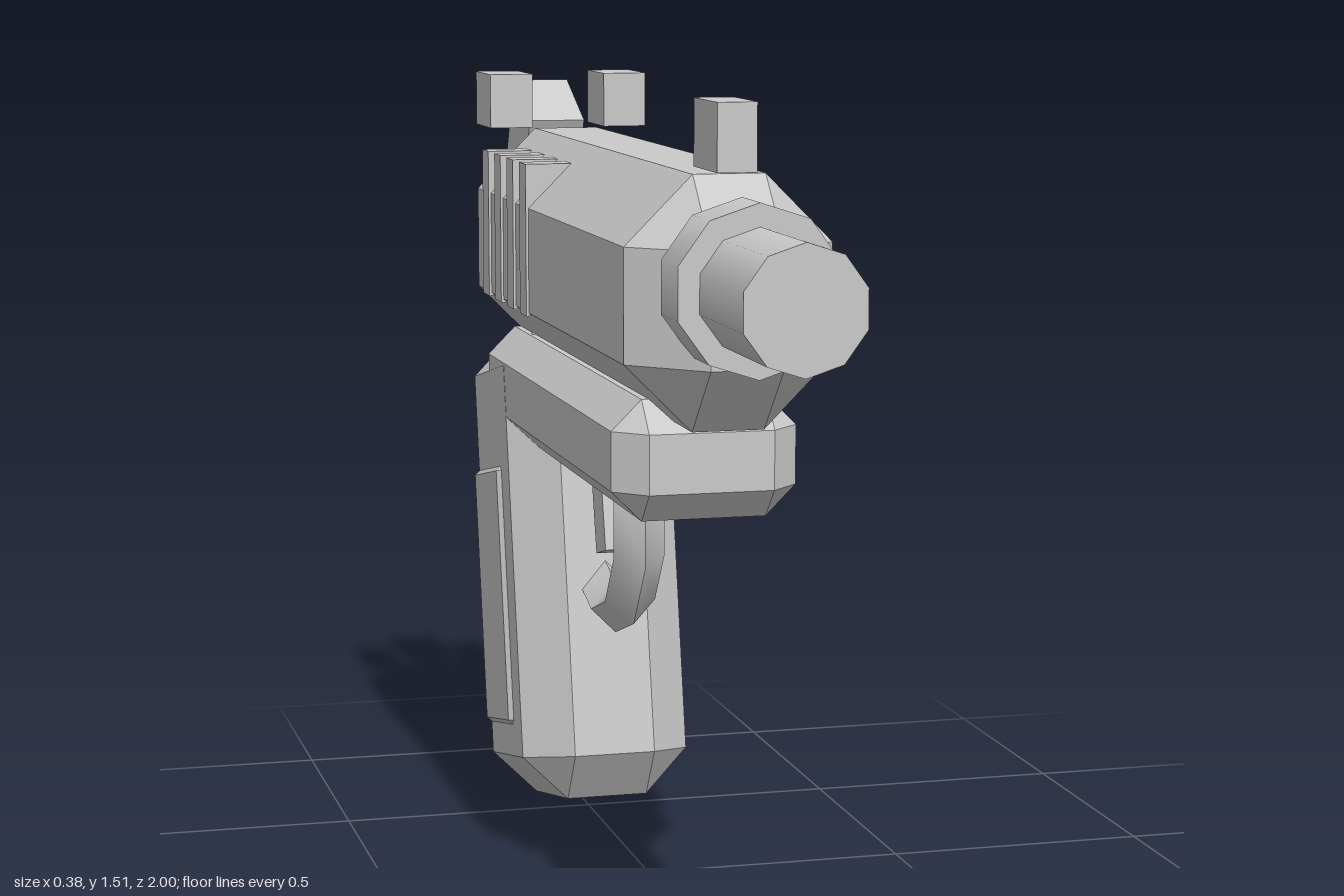
import * as THREE from 'three';
import { ConvexGeometry } from 'three/addons/geometries/ConvexGeometry.js';
import { toCreasedNormals } from 'three/addons/utils/BufferGeometryUtils.js';

const SIGNS = [-1, 1];

// Box with every edge chamfered by c
function chamferBox(w, h, d, c) {
  const points = [];
  const [x, y, z] = [w / 2, h / 2, d / 2];
  for (const i of SIGNS) for (const j of SIGNS) for (const k of SIGNS) {
    points.push(
      new THREE.Vector3(i * x, j * (y - c), k * (z - c)),
      new THREE.Vector3(i * (x - c), j * y, k * (z - c)),
      new THREE.Vector3(i * (x - c), j * (y - c), k * z)
    );
  }
  return new ConvexGeometry(points);
}

export function createModel() {
  const model = new THREE.Group();
  const lightGrey = new THREE.MeshStandardMaterial({ color: 0xcacaca });
  lightGrey.name = 'lightGrey';

  function add(name, geometry, x, y, z, parent = model) {
    const mesh = new THREE.Mesh(geometry, lightGrey);
    mesh.name = name;
    mesh.position.set(x, y, z);
    parent.add(mesh);
    return mesh;
  }

  // Upper body and lower rail
  add('slide', chamferBox(0.368, 0.44, 1.475, 0.12), 0, 1.161, -0.067);
  add('rail', chamferBox(0.337, 0.217, 1.17, 0.055), 0, 0.869, -0.135);

  // Ten-sided barrel and collar
  const tube = (r, length) => new THREE.CylinderGeometry(r, r, length, 10).rotateX(Math.PI / 2);
  add('barrel', tube(0.108, 0.4), 0, 1.2, 0.8);
  add('collar', tube(0.147, 0.11), 0, 1.201, 0.685);

  // Ridges across the rear of the slide
  for (let i = 0; i < 4; i++) {
    add('ridge', new THREE.BoxGeometry(0.378, 0.29, 0.058), 0, 1.2, -0.231 - i * 0.117);
  }

  // Sights
  add('frontSight', new THREE.BoxGeometry(0.07, 0.118, 0.15), 0, 1.445, 0.525);
  for (const s of SIGNS) {
    add('rearSight', new THREE.BoxGeometry(0.087, 0.108, 0.145), s * 0.118, 1.438, -0.732);
  }

  // Hammer
  add('hammer', new THREE.BoxGeometry(0.115, 0.18, 0.175), 0, 1.348, -0.882).rotation.x = 0.45;

  // Raked grip with thin bevelled side panels wrapping onto its rear chamfers
  const grip = new THREE.Group();
  grip.name = 'grip';
  grip.position.set(0, 0.501, -0.583);
  grip.rotation.x = -0.207;
  model.add(grip);
  add('gripBody', chamferBox(0.338, 0.964, 0.478, 0.088), 0, 0, 0, grip);
  const section = new THREE.Shape([
    [-0.169, -0.078], [0.169, -0.078], [0.178, -0.069], [0.178, 0.154],
    [0.114, 0.218], [-0.114, 0.218], [-0.178, 0.154], [-0.178, -0.069]
  ].map(([x, y]) => new THREE.Vector2(x, y)));
  const panel = new THREE.ExtrudeGeometry(section, {
    depth: 0.507, bevelThickness: 0.009, bevelSize: 0.009, bevelOffset: -0.009, bevelSegments: 1
  });
  add('gripPanels', panel.rotateX(-Math.PI / 2), 0, -0.321, 0, grip);

  // Trigger and its diamond-section guard
  add('trigger', new THREE.BoxGeometry(0.06, 0.3, 0.08), 0, 0.723, -0.297).rotation.x = -0.26;
  const guard = new THREE.TorusGeometry(0.2, 0.05, 4, 10).rotateZ(Math.PI / 2).rotateY(Math.PI / 2);
  add('triggerGuard', toCreasedNormals(guard, 0.6), 0, 0.664, -0.262);

  return model;
}
